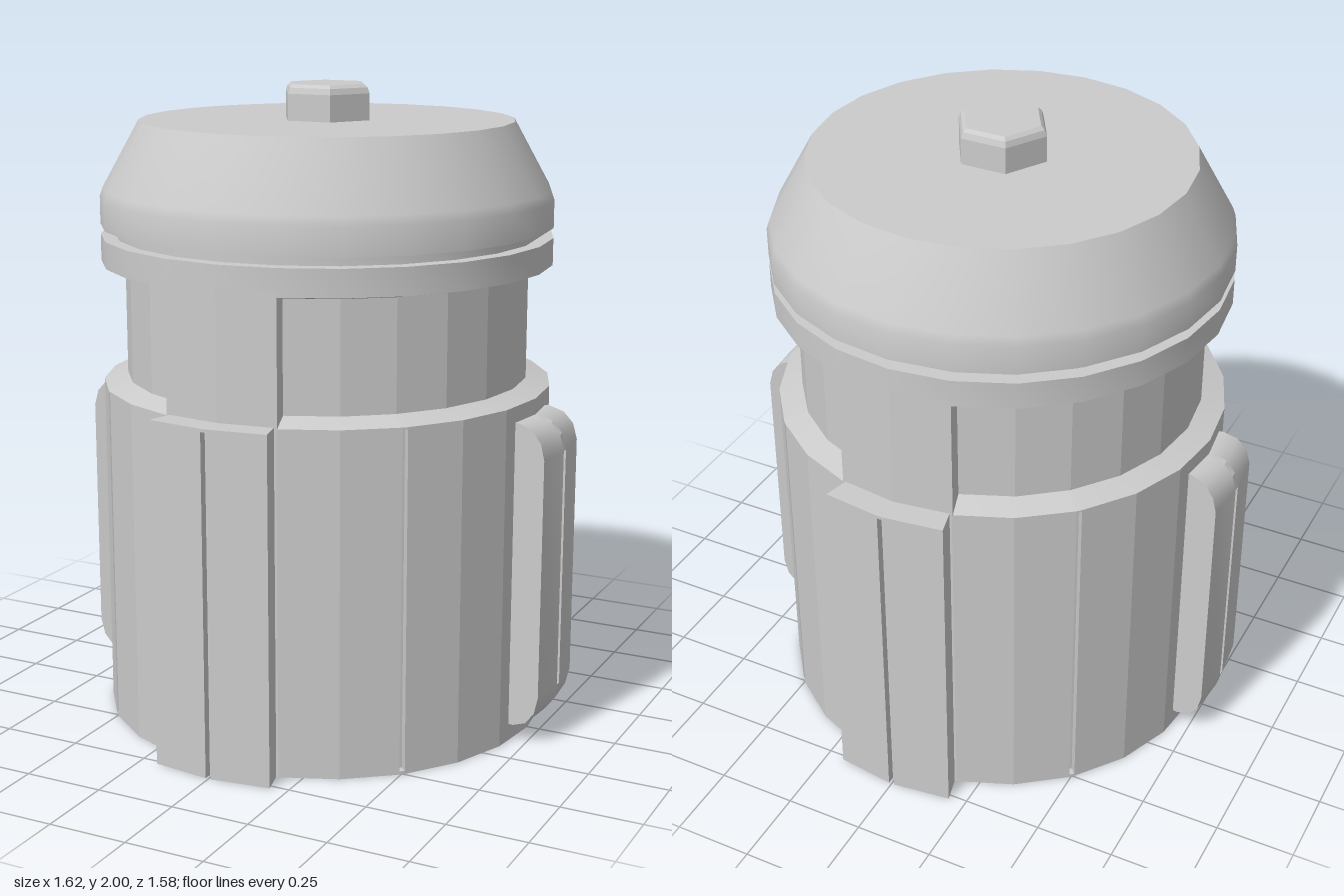
import * as THREE from 'three';
import { mergeGeometries, toCreasedNormals } from 'three/addons/utils/BufferGeometryUtils.js';

const FLAT = 0.15;   // crease angle that keeps every facet
const SOFT = 0.6;    // crease angle that smooths round the axis
const GAP = 0.012;   // half the angular width of a groove
const SIDES = 24;
const deg = THREE.MathUtils.degToRad;
const grey = new THREE.MeshStandardMaterial({ color: 0xcccccc });
const vectors = (points) => points.map(([r, y]) => new THREE.Vector2(r, y));

function addMesh(parent, name, geometry) {
  const mesh = new THREE.Mesh(geometry, grey);
  mesh.name = name;
  parent.add(mesh);
  return mesh;
}

// Full turned part; the profile runs from bottom to top.
function turned(points, sides = SIDES, crease = SOFT) {
  return toCreasedNormals(new THREE.LatheGeometry(vectors(points), sides), crease);
}

// Closed (r, y) profile swept from angle a to b (0 = front, 90 deg = left), with end faces.
function sector(points, a, b, steps, crease = FLAT) {
  const outline = vectors(points);
  const sweep = new THREE.LatheGeometry([...outline, outline[0]], steps, a, b - a).toNonIndexed();
  const start = new THREE.ShapeGeometry(new THREE.Shape(outline));
  const end = start.clone();
  end.index.array.reverse();
  start.rotateY(a - Math.PI / 2);
  end.rotateY(b - Math.PI / 2);
  const merged = mergeGeometries([sweep, start.toNonIndexed(), end.toNonIndexed()]);
  return toCreasedNormals(merged, crease);
}

// Raised panel split down the middle by a fine groove.
function groovedPanel(name, angle, halfAngle, profile, grooveProfile, crease) {
  const panel = new THREE.Group();
  panel.name = name;
  addMesh(panel, 'panelHalf', sector(profile, angle - halfAngle, angle - GAP, 1, crease));
  addMesh(panel, 'panelHalf', sector(profile, angle + GAP, angle + halfAngle, 1, crease));
  addMesh(panel, 'panelGroove', sector(grooveProfile, angle - GAP, angle + GAP, 1));
  return panel;
}

export function createModel() {
  const model = new THREE.Group();
  model.name = 'canister';

  // Lower body: four quarters with a narrow groove on each diagonal
  const body = new THREE.Group();
  body.name = 'body';
  const wall = [[0, 0], [0.71, 0], [0.71, 1.072], [0.63, 1.095], [0, 1.095]];
  const slot = [[0, 0], [0.71, 0], [0.71, 0.01], [0.685, 0.01],
    [0.685, 1.065], [0.71, 1.065], [0.71, 1.072], [0.63, 1.095], [0, 1.095]];
  for (let i = 0; i < 4; i++) {
    const corner = deg(45 + 90 * i);
    addMesh(body, 'bodyQuarter', sector(wall, corner + GAP, corner + Math.PI / 2 - GAP, 6));
    addMesh(body, 'bodyGroove', sector(slot, corner - GAP, corner + GAP, 1));
  }
  model.add(body);

  // Recessed neck
  addMesh(model, 'neck', turned([[0.635, 1.05], [0.635, 1.46]], SIDES, FLAT));

  // Front and back: neck pillars and full-height ribs
  const pillar = [[0.6, 1.05], [0.71, 1.05], [0.71, 1.47], [0.6, 1.47]];
  const rib = [[0.66, 0], [0.79, 0], [0.79, 1.075], [0.66, 1.075]];
  const ribGroove = [[0.66, 0], [0.765, 0], [0.765, 1.065], [0.79, 1.065], [0.79, 1.075], [0.66, 1.075]];
  for (const [side, angle] of [['front', 0], ['back', Math.PI]]) {
    addMesh(model, side + 'Pillar', sector(pillar, angle - deg(15), angle + deg(15), 2));
    model.add(groovedPanel(side + 'Rib', angle, deg(14.2), rib, ribGroove, FLAT));
  }

  // Left and right: grip pads with rounded ends
  const pad = [[0.66, 0.055], [0.72, 0.055], [0.765, 0.072], [0.795, 0.11], [0.808, 0.165],
    [0.808, 0.92], [0.795, 0.97], [0.765, 1.005], [0.72, 1.022], [0.66, 1.022]];
  const padGroove = [...pad.slice(0, 5), [0.785, 0.165], [0.785, 0.92], ...pad.slice(5)];
  for (const [side, angle] of [['left', Math.PI / 2], ['right', -Math.PI / 2]]) {
    model.add(groovedPanel(side + 'Pad', angle, deg(10.3), pad, padGroove, SOFT));
  }

  // Collar, groove and tapered cap
  addMesh(model, 'collar', turned([[0.6, 1.43], [0.71, 1.453], [0.71, 1.537], [0.665, 1.537]]));
  addMesh(model, 'capGroove', turned([[0.665, 1.53], [0.665, 1.575]]));
  addMesh(model, 'cap', turned([[0.665, 1.568], [0.71, 1.568], [0.71, 1.655], [0.7, 1.683],
    [0.585, 1.89], [0, 1.89]]));

  // Hexagonal knob with a small bevel
  const knob = addMesh(model, 'hexKnob',
    turned([[0.145, 1.88], [0.145, 1.972], [0.138, 1.99], [0.126, 2], [0, 2]], 6, FLAT));
  knob.rotation.y = Math.PI / 2;

  return model;
}
